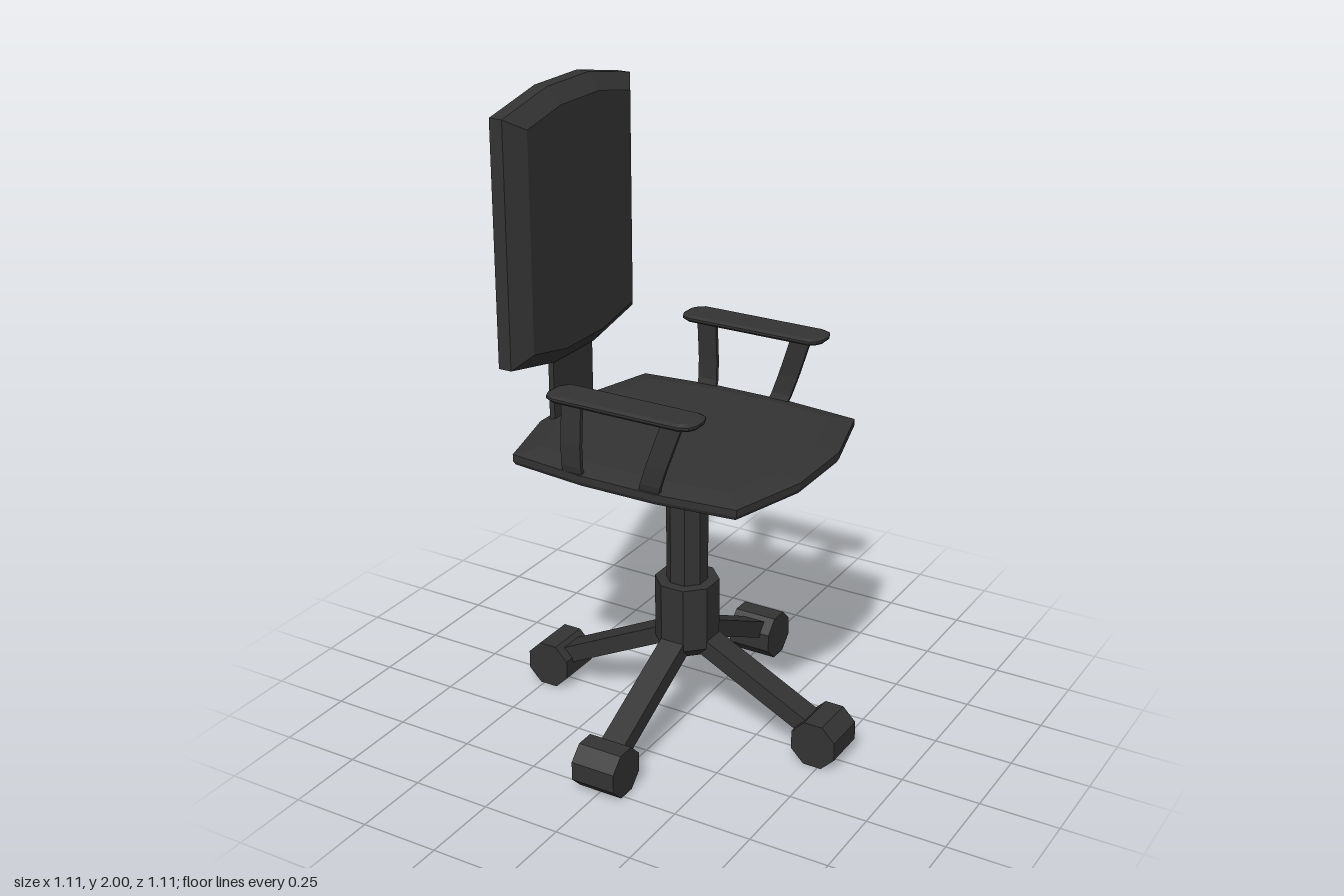
import * as THREE from 'three';

const material = new THREE.MeshStandardMaterial({ color: 0x333333, flatShading: true });

function add(parent, name, geometry) {
  const mesh = new THREE.Mesh(geometry, material);
  mesh.name = name;
  parent.add(mesh);
  return mesh;
}

// Upright octagonal column with flats facing the axes; r is measured to the flats.
function octagon(rTop, rBottom, height) {
  const k = 1 / Math.cos(Math.PI / 8);
  return new THREE.CylinderGeometry(rTop * k, rBottom * k, height, 8).rotateY(Math.PI / 8);
}

// Convex outline from its first-quadrant corners (anticlockwise), mirrored in both axes.
function mirrorOutline(quarter) {
  const half = [...quarter, ...quarter.map(([u, v]) => [-u, v]).reverse()];
  return [...half, ...half.map(([u, v]) => [-u, -v])];
}

// Skins stacked outlines along z; each layer is { quarter, w }.
function loft(layers) {
  const rings = layers.map(({ quarter, w }) => mirrorOutline(quarter).map(([u, v]) => [u, v, w]));
  const n = rings[0].length;
  const last = rings.length - 1;
  const pos = [];
  for (let k = 0; k < last; k++) {
    for (let i = 0; i < n; i++) {
      const j = (i + 1) % n;
      const [a, b, c, d] = [rings[k][i], rings[k][j], rings[k + 1][j], rings[k + 1][i]];
      pos.push(...a, ...b, ...c, ...a, ...c, ...d);
    }
  }
  for (let i = 1; i < n - 1; i++) {
    pos.push(...rings[0][0], ...rings[0][i + 1], ...rings[0][i]);
    pos.push(...rings[last][0], ...rings[last][i], ...rings[last][i + 1]);
  }
  const g = new THREE.BufferGeometry();
  g.setAttribute('position', new THREE.Float32BufferAttribute(pos, 3));
  g.computeVertexNormals();
  return g;
}

// Thin bent strip: path of [x, y, z] centres, swept with a small rectangular section.
function strip(path, width, thick) {
  const shape = new THREE.Shape(path.map(([, y, z]) => new THREE.Vector2(z + thick / 2, y))
    .concat([...path].reverse().map(([, y, z]) => new THREE.Vector2(z - thick / 2, y))));
  const g = new THREE.ExtrudeGeometry(shape, { depth: width, bevelEnabled: false });
  g.translate(0, 0, -width / 2).rotateY(-Math.PI / 2);
  // Lean the strip along x with its height
  const p = g.attributes.position;
  const [x0, y0] = path[0];
  const [x1, y1] = path[path.length - 1];
  for (let i = 0; i < p.count; i++) {
    p.setX(i, p.getX(i) + x0 + (x1 - x0) * (p.getY(i) - y0) / (y1 - y0));
  }
  g.computeVertexNormals();
  return g;
}

function armPad() {
  const w = 0.245, d = 0.06, r = 0.04;
  const q = (s) => [[w - s, d - r], [w - r * 0.3 - s, d - r * 0.3 - s], [w - r, d - s]];
  return loft([{ quarter: q(0.006), w: 0 }, { quarter: q(0), w: 0.007 },
    { quarter: q(0), w: 0.014 }, { quarter: q(0.012), w: 0.02 }]).rotateX(-Math.PI / 2);
}

export function createModel() {
  const chair = new THREE.Group();
  chair.name = 'officeChair';

  // Column
  add(chair, 'hub', octagon(0.093, 0.093, 0.21)).position.y = 0.385;
  add(chair, 'hubFoot', octagon(0.093, 0.07, 0.03)).position.y = 0.265;
  add(chair, 'post', octagon(0.06, 0.06, 0.44)).position.y = 0.69;
  add(chair, 'seatPlate', new THREE.BoxGeometry(0.215, 0.045, 0.215)).position.y = 0.9175;

  // Four sloping legs with castors
  const slope = Math.atan2(0.2, 0.4);
  for (let i = 0; i < 4; i++) {
    const leg = new THREE.Group();
    leg.name = 'leg' + (i + 1);
    leg.rotation.y = i * Math.PI / 2;
    const bar = add(leg, 'legBar', new THREE.BoxGeometry(0.45, 0.054, 0.08));
    bar.position.set(0.25, 0.197, 0);
    bar.rotation.z = -slope;
    const wheel = add(leg, 'wheel', octagon(0.0725, 0.0725, 0.145).rotateX(Math.PI / 2));
    wheel.position.set(0.482, 0.0725, 0);
    chair.add(leg);
  }

  // Seat cushion
  const rim = [[0.445, 0.125], [0.375, 0.373], [0.125, 0.4]];
  const shrink = (s) => rim.map(([u, v]) => [u * s, v * s]);
  add(chair, 'seat', loft([
    { quarter: shrink(0.985), w: 0.93 },
    { quarter: rim, w: 0.942 },
    { quarter: rim, w: 0.963 },
    { quarter: shrink(0.84), w: 0.979 },
  ]).rotateX(-Math.PI / 2));

  // Backrest, bevelled toward the sitter
  const backRim = [[0.335, 0.373], [0.11, 0.42]];
  const backFace = [[0.272, 0.335], [0.1, 0.37]];
  add(chair, 'backrest', loft([
    { quarter: backRim, w: -0.44 },
    { quarter: backRim, w: -0.397 },
    { quarter: backFace, w: -0.357 },
  ]).rotateY(Math.PI / 2)).position.y = 1.58;
  add(chair, 'backSupport', new THREE.BoxGeometry(0.018, 0.28, 0.215)).position.set(-0.413, 1.09, 0);

  // Armrests
  for (const side of [1, -1]) {
    const arm = new THREE.Group();
    arm.name = side > 0 ? 'armrestFront' : 'armrestBack';
    add(arm, 'armPad', armPad()).position.set(0.022, 1.19, 0.382);
    const bends = [[0.95, 0.385], [0.985, 0.394], [1.05, 0.396], [1.12, 0.391], [1.195, 0.385]];
    add(arm, 'rearArmPost', strip(bends.map(([y, z]) => [-0.152, y, z]), 0.066, 0.013));
    add(arm, 'frontArmPost', strip(bends.map(([y, z]) => [0.1 + (y - 0.95) * 0.34, y, z]), 0.066, 0.013));
    // Half a turn plus a shift keeps the fore-aft layout equal on both sides
    if (side < 0) {
      arm.children.forEach((m) => {
        m.geometry.scale(1, 1, -1);
        const p = m.geometry.attributes.position;
        // Restore the winding after mirroring
        if (m.geometry.index) m.geometry = m.geometry.toNonIndexed();
        for (let i = 0; i < p.count; i += 3) {
          const a = new THREE.Vector3().fromBufferAttribute(p, i);
          const b = new THREE.Vector3().fromBufferAttribute(p, i + 1);
          p.setXYZ(i, b.x, b.y, b.z);
          p.setXYZ(i + 1, a.x, a.y, a.z);
        }
        m.geometry.computeVertexNormals();
        m.position.z *= -1;
      });
    }
    chair.add(arm);
  }
  return chair;
}
